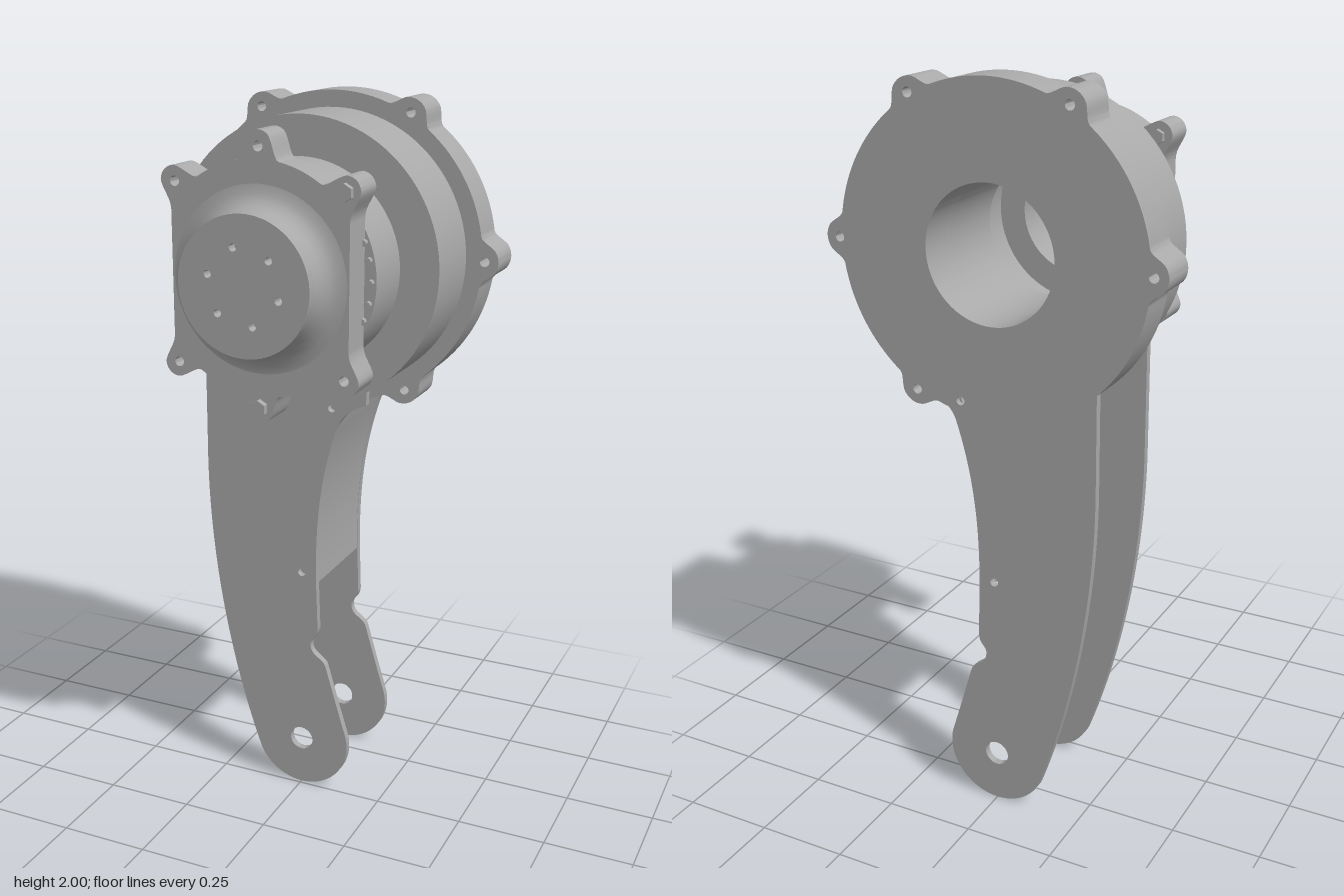
import * as THREE from 'three';
import { toCreasedNormals } from 'three/addons/utils/BufferGeometryUtils.js';

const CY = 1.57; // height of the joint axis
const deg = Math.PI / 180;
const metal = new THREE.MeshStandardMaterial({ color: 0xa9a9a9, side: THREE.DoubleSide });
metal.name = 'grey metal';

export function createModel() {
  const model = new THREE.Group();
  model.name = 'jointedArm';

  const add = (name, geometry) => {
    const mesh = new THREE.Mesh(toCreasedNormals(geometry, 0.5), metal);
    mesh.name = name;
    model.add(mesh);
    return mesh;
  };
  const hole = (shape, x, y, r) => shape.holes.push(new THREE.Path().absarc(x, y, r, 0, Math.PI * 2, true));
  const slab = (name, shape, z0, z1) => {
    const g = new THREE.ExtrudeGeometry(shape, { depth: z1 - z0, bevelEnabled: false, curveSegments: 48 });
    return add(name, g.translate(0, 0, z0));
  };
  const disc = (r, inner) => {
    const s = new THREE.Shape().absarc(0, CY, r, 0, Math.PI * 2);
    if (inner) hole(s, 0, CY, inner);
    return s;
  };
  const polar = (r, a) => [r * Math.cos(a * deg), CY + r * Math.sin(a * deg)];
  const peg = (name, x, y, r, z0, z1, sides = 16) => add(name,
    new THREE.CylinderGeometry(r, r, z1 - z0, sides).rotateX(Math.PI / 2).translate(x, y, (z0 + z1) / 2));

  // Round outline with a flared ear at each listed angle
  const earedDisc = (base, tip, angles, inHalf, outHalf) => {
    const pts = [];
    for (let i = 0; i < 360; i++) {
      const a = i * deg;
      let r = base(a);
      for (const e of angles) {
        const d = Math.abs(Math.atan2(Math.sin(a - e * deg), Math.cos(a - e * deg)));
        const k = 1 - THREE.MathUtils.smoothstep(d, inHalf, outHalf);
        const round = tip - 0.12 * d * d / inHalf;
        r = Math.max(r, r + (round - r) * k);
      }
      pts.push(new THREE.Vector2(...polar(r, i)));
    }
    return new THREE.Shape(pts);
  };

  // Rear flange with five bolt ears and an open bore
  const flangeEars = [0, 60, 120, 180, 300];
  const flange = earedDisc(() => 0.43, 0.475, flangeEars, 0.06, 0.19);
  hole(flange, 0, CY, 0.18);
  hole(flange, 0.09, 1.18, 0.012);
  flangeEars.forEach((a) => hole(flange, ...polar(0.437, a), 0.013));
  slab('rearFlange', flange, -0.335, -0.22);

  // Main drum and the smaller drum in front of it
  slab('mainHousing', disc(0.385, 0.18), -0.22, -0.01);
  slab('frontHousing', disc(0.278, 0.235), -0.01, 0.15);

  // Front cover: six ears, flat sides
  const coverEars = [45, 90, 135, 225, 270, 315];
  const bolted = [45, 270];
  const cover = earedDisc((a) => Math.min(0.3, 0.245 / Math.max(Math.abs(Math.cos(a)), 0.01)),
    0.37, coverEars, 0.07, 0.2);
  hole(cover, 0, CY, 0.16);
  coverEars.forEach((a) => hole(cover, ...polar(0.33, a), 0.013));
  slab('frontCover', cover, 0.15, 0.245);

  // Bolts through two ears, nuts behind all of them
  for (const a of coverEars) {
    const [x, y] = polar(0.33, a);
    if (bolted.includes(a)) peg('coverBolt', x, y, 0.023, 0.13, 0.262, 6);
    else peg('coverNut', x, y, 0.02, 0.135, 0.15, 6);
  }
  // Small studs on the exposed sides of the front drum
  for (const a of [-22, -12, 0, 12, 22]) {
    for (const side of [0, 180]) peg('sideStud', ...polar(0.264, a + side), 0.009, 0.145, 0.165, 8);
  }

  // Flared nose with a drilled end face
  const profile = [[0.24, 0.245], [0.218, 0.249], [0.2, 0.26], [0.187, 0.277], [0.181, 0.295], [0.18, 0.31]];
  const nose = add('noseFlare', new THREE.LatheGeometry(
    profile.map(([r, z]) => new THREE.Vector2(r, z)), 72).rotateX(Math.PI / 2));
  nose.position.y = CY;
  const face = disc(0.18);
  for (let i = 0; i < 6; i++) hole(face, ...polar(0.1, 45 + i * 60), 0.01);
  slab('outputFace', face, 0.305, 0.335);

  // Arm side plate outline, counter-clockwise from the upper left
  const plate = () => {
    const s = new THREE.Shape();
    s.moveTo(-0.295, 1.32);
    s.lineTo(-0.295, 1.0);
    s.bezierCurveTo(-0.295, 0.68, -0.23, 0.35, -0.132, 0.085);
    s.absarc(0, 0.145, 0.145, 204 * deg, 375 * deg, false);
    s.lineTo(0.11, 0.28);
    s.lineTo(0.076, 0.395);
    s.bezierCurveTo(0.065, 0.425, 0.028, 0.42, 0.028, 0.46);
    s.bezierCurveTo(0.028, 0.48, 0.05, 0.48, 0.05, 0.515);
    s.lineTo(0.045, 0.65);
    s.bezierCurveTo(0.04, 0.85, 0.06, 0.99, 0.105, 1.125);
    s.quadraticCurveTo(0.12, 1.17, 0.19, 1.2);
    s.lineTo(0.19, 1.25);
    s.lineTo(0.05, 1.32);
    s.closePath();
    hole(s, 0, 0.145, 0.035);
    hole(s, 0, 0.68, 0.012);
    hole(s, 0.09, 1.18, 0.012);
    return s;
  };
  slab('frontArmPlate', plate(), -0.031, -0.0105);
  slab('rearArmPlate', plate(), -0.3345, -0.314);

  // Curved web joining the two plates along the right edge
  const web = new THREE.Shape();
  web.moveTo(0.044, 0.65);
  web.bezierCurveTo(0.039, 0.85, 0.059, 0.99, 0.104, 1.125);
  web.lineTo(0.13, 1.215);
  web.lineTo(0.105, 1.215);
  web.lineTo(0.083, 1.13);
  web.bezierCurveTo(0.038, 0.99, 0.018, 0.85, 0.023, 0.65);
  slab('armWeb', web, -0.32, -0.02);

  return model;
}
